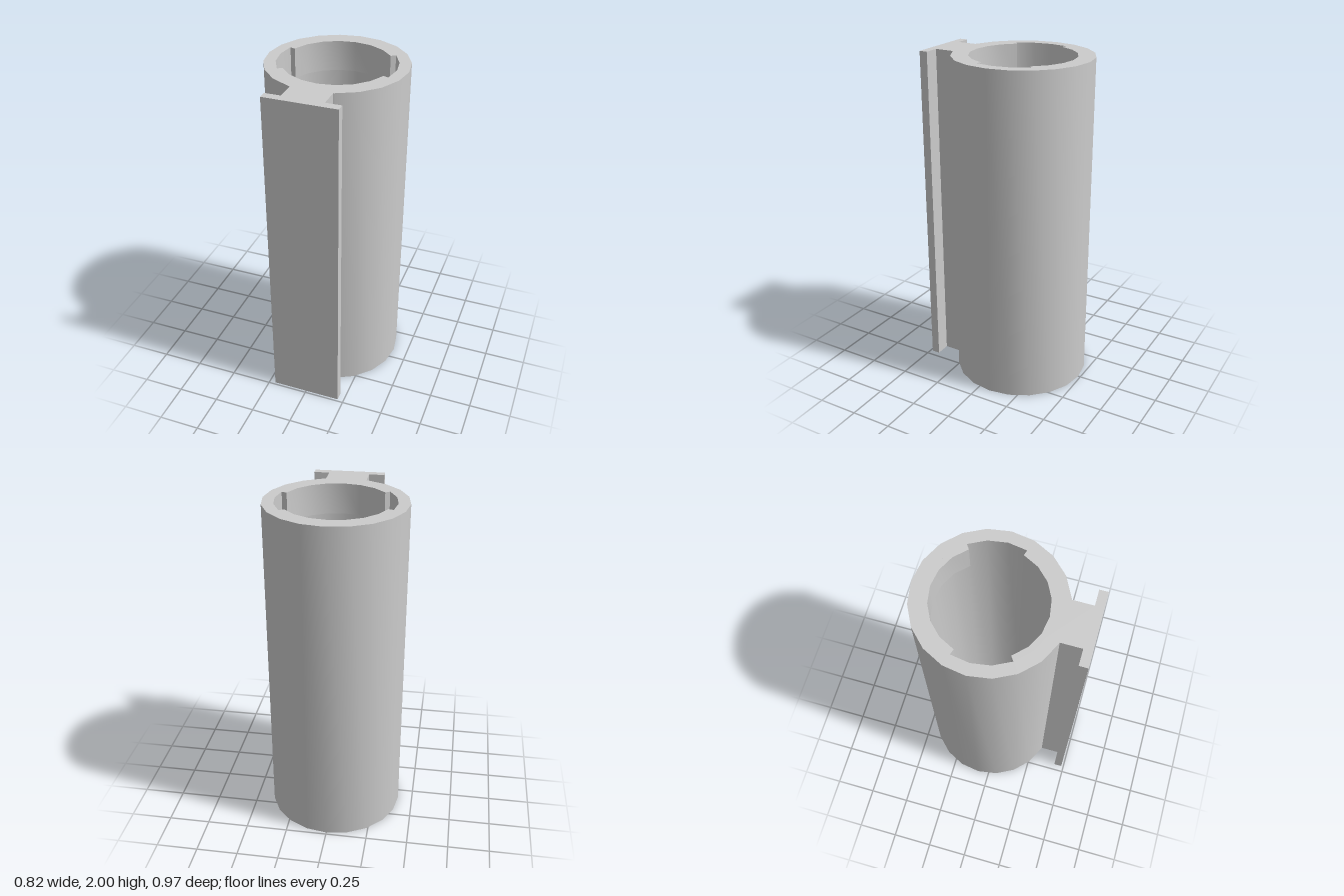
import * as THREE from 'three';
import { toCreasedNormals } from 'three/addons/utils/BufferGeometryUtils.js';

const SIDES = 20, HEIGHT = 2, CENTRE = 0.075;
const OUTER = 0.41, CAVITY = 0.342, LIP = 0.31, BORE = 0.14;
const FLOOR = 0.07, LIP_DEPTH = 0.18;

// Points on a 20-sided ring from step a to step b (plan view, +y is the back)
function arc(r, a, b) {
  const pts = [];
  const dir = b >= a ? 1 : -1;
  for (let k = a; k !== b + dir; k += dir) {
    const t = (k / SIDES) * Math.PI * 2;
    pts.push(new THREE.Vector2(r * Math.cos(t), CENTRE + r * Math.sin(t)));
  }
  return pts;
}

export function createModel() {
  const group = new THREE.Group();
  const material = new THREE.MeshStandardMaterial({ color: 0xcccccc });

  // Extrudes a plan outline upwards from y0 to y1
  function addPart(name, outline, hole, y0, y1) {
    const shape = new THREE.Shape(outline);
    if (hole) shape.holes.push(new THREE.Path(hole));
    const geo = new THREE.ExtrudeGeometry(shape, { depth: y1 - y0, bevelEnabled: false });
    geo.rotateX(-Math.PI / 2);
    geo.translate(0, y0, 0);
    const mesh = new THREE.Mesh(toCreasedNormals(geo, 0.5), material);
    mesh.name = name;
    group.add(mesh);
  }

  // Tube wall with the T-shaped mounting rail on its front
  const rail = [[-0.12, -0.317], [-0.12, -0.435], [-0.212, -0.435], [-0.212, -0.485]]
    .map(([x, y]) => new THREE.Vector2(x, y));
  const mirrored = rail.map(p => new THREE.Vector2(-p.x, p.y)).reverse();
  addPart('tubeWithRail', [...arc(OUTER, 16, 34), ...rail, ...mirrored],
    arc(CAVITY, 0, SIDES - 1), 0, HEIGHT);

  // Thin floor with a round bore
  addPart('floor', arc(CAVITY, 0, SIDES - 1), arc(BORE, 0, SIDES - 1), 0, FLOOR);

  // Two lip segments inside the mouth, leaving a slot on each side
  for (const [name, start] of [['backLip', 2], ['frontLip', 12]]) {
    addPart(name, [...arc(CAVITY, start, start + 7), ...arc(LIP, start + 7, start)],
      null, HEIGHT - LIP_DEPTH, HEIGHT);
  }
  return group;
}
